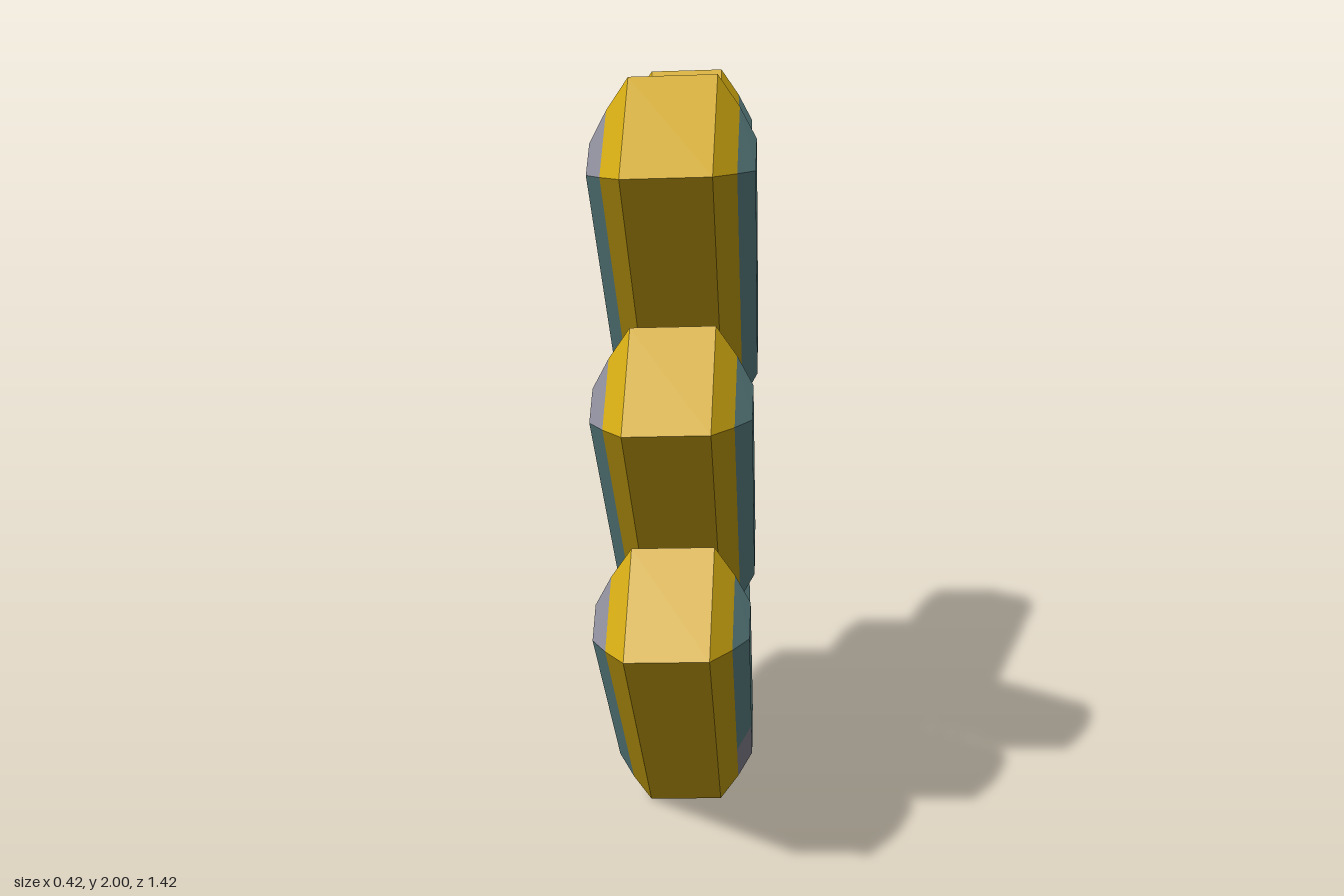
import * as THREE from 'three';

const gold = new THREE.MeshStandardMaterial({ name: 'gold', color: 0xd0a810 });
const teal = new THREE.MeshStandardMaterial({ name: 'teal', color: 0x638a8d });
const grey = new THREE.MeshStandardMaterial({ name: 'lavender grey', color: 0x8f8e9c });

// Cross-section from right to left: [x, inset of the outline]
const SECTION = [[-0.185, 0.14], [-0.147, 0.07], [-0.098, 0], [0.098, 0], [0.147, 0.07], [0.185, 0.14]];

// V-shaped outline as [z, y], shrunk evenly by an inset
const outline = (k) => [
  [0.493, 0.91 - k], [0.70 - k, 0.705], [0, k],
  [-0.70 + k, 0.705], [-0.493, 0.91 - k], [0, 0.42 - k],
];

// Slight sideways bend of the legs and a small turn of the whole
function bend(x, y, z) {
  const centre = 0.018 + z * (z < 0 ? 0.083 : 0.014);
  return new THREE.Vector3(x + centre, y + 0.03 * x, z - 0.041 * x);
}

function meshFromQuads(name, quads, material) {
  const points = quads.flatMap(([a, b, c, d]) => [a, b, c, a, c, d]);
  const geometry = new THREE.BufferGeometry().setFromPoints(points);
  geometry.computeVertexNormals();
  const mesh = new THREE.Mesh(geometry, material);
  mesh.name = name;
  return mesh;
}

function chevron(hasSidePatch) {
  const shell = [], inlay = [], patch = [];
  const rings = SECTION.map(([x, k]) => outline(k).map(([z, y]) => bend(x, y, z)));

  // Bands around the outline: gold rim and outer bevels, teal inner bevels
  for (let i = 0; i < 5; i++) {
    for (let j = 0; j < 6; j++) {
      const n = (j + 1) % 6;
      const lo = rings[i], hi = rings[i + 1];
      const quad = [lo[j], lo[n], hi[n], hi[j]];
      if (i === 0 && j === 0) {
        patch.push(quad); // front end bevel on the right side
      } else if (hasSidePatch && i === 4 && j === 1) {
        // short patch beside the bottom corner
        const a = lo[j].clone().lerp(lo[n], 0.76);
        const b = hi[j].clone().lerp(hi[n], 0.73);
        inlay.push([lo[j], a, b, hi[j]]);
        patch.push([a, lo[n], hi[n], b]);
      } else {
        (i === 0 || i === 4 ? inlay : shell).push(quad);
      }
    }
  }

  // Flat side faces, one per leg
  for (const leg of [[0, 1, 2, 5], [5, 2, 3, 4]]) {
    inlay.push(leg.map((j) => rings[5][j]));
    inlay.push(leg.map((j) => rings[0][j]).reverse());
  }

  const group = new THREE.Group();
  group.add(
    meshFromQuads('shell', shell, gold),
    meshFromQuads('sideInlays', inlay, teal),
    meshFromQuads('patches', patch, grey),
  );
  return group;
}

export function createModel() {
  const model = new THREE.Group();
  model.name = 'stackedChevrons';
  const places = [['lowerChevron', 0.005, 0.003], ['middleChevron', 0.533, 0], ['upperChevron', 1.087, -0.007]];
  places.forEach(([name, y, z], i) => {
    const part = chevron(i === 0);
    part.name = name;
    part.position.set(0, y, z);
    model.add(part);
  });
  return model;
}
